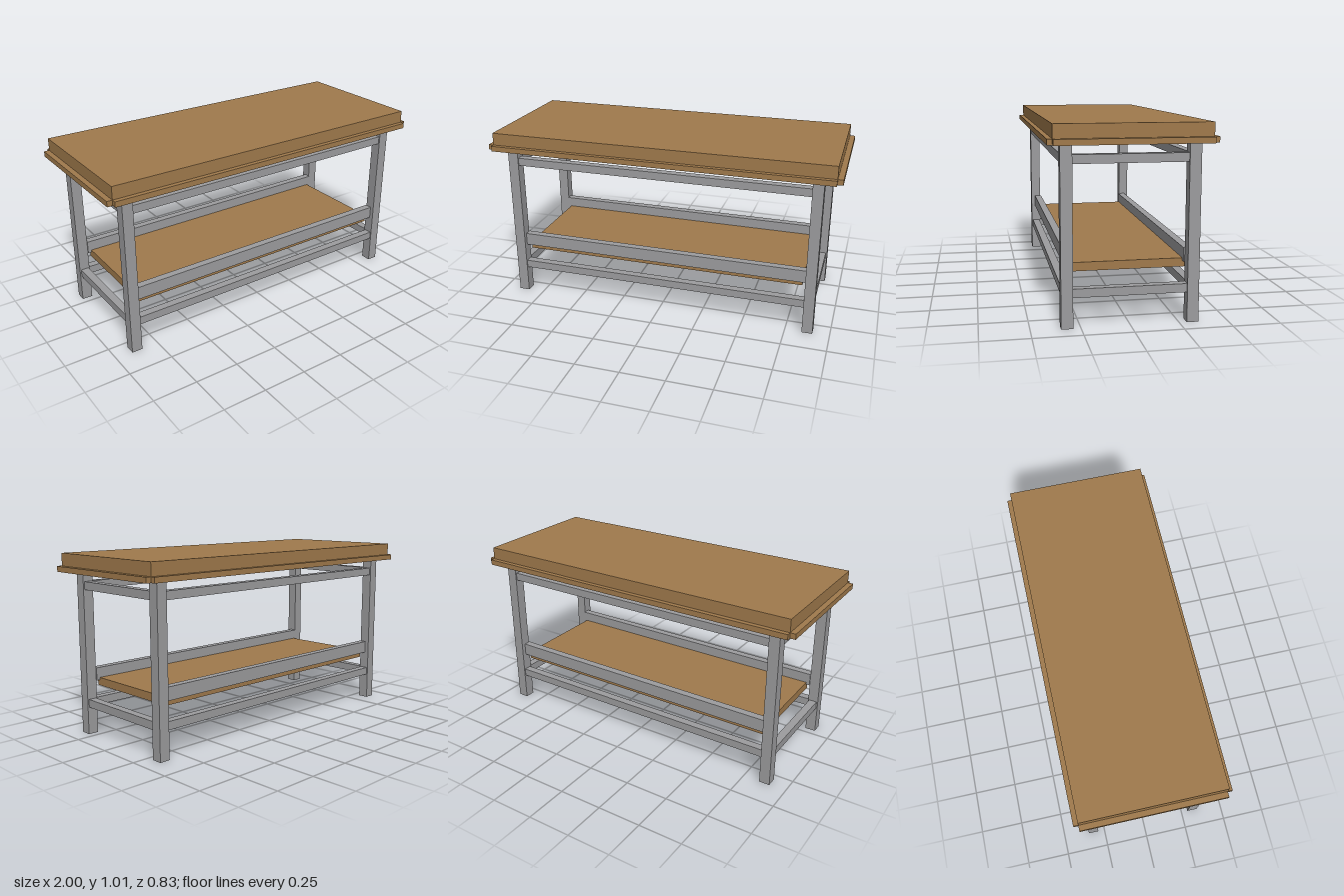
import * as THREE from 'three';

export function createModel() {
  const group = new THREE.Group();
  const wood = new THREE.MeshStandardMaterial({ color: 0xa07a4c });
  wood.name = 'wood';
  const steel = new THREE.MeshStandardMaterial({ color: 0x9c9c9e });
  steel.name = 'grey steel';

  // Box given by its lower and upper limits on each axis
  function addBox(name, material, [x0, x1], [y0, y1], [z0, z1]) {
    const mesh = new THREE.Mesh(new THREE.BoxGeometry(x1 - x0, y1 - y0, z1 - z0), material);
    mesh.position.set((x0 + x1) / 2, (y0 + y1) / 2, (z0 + z1) / 2);
    mesh.name = name;
    group.add(mesh);
  }
  // Range from a to b, mirrored to the negative side when s is -1
  const side = (s, a, b) => (s > 0 ? [a, b] : [-b, -a]);

  // Worktop and lower shelf
  addBox('worktop', wood, [-0.97, 0.97], [0.913, 1.013], [-0.39, 0.39]);
  addBox('shelf', wood, [-0.825, 0.825], [0.27, 0.315], [-0.3, 0.3]);

  for (const s of [1, -1]) {
    const end = s > 0 ? 'left' : 'right';
    const face = s > 0 ? 'front' : 'back';

    // Edge trim around the worktop, open at the corners
    addBox(`${face}Trim`, wood, [-0.97, 0.97], [0.913, 0.943], side(s, 0.39, 0.416));
    addBox(`${end}Trim`, wood, side(s, 0.97, 1), [0.913, 0.943], [-0.39, 0.39]);

    // Legs
    for (const t of [1, -1]) {
      addBox(`${t > 0 ? 'front' : 'back'}${s > 0 ? 'Left' : 'Right'}Leg`, steel,
        side(s, 0.845, 0.905), [0, 0.913], side(t, 0.289, 0.349));
    }

    // Upper and lower rails between the legs
    for (const [level, y] of [['Upper', [0.815, 0.86]], ['Lower', [0.155, 0.2]]]) {
      addBox(`${face}${level}Rail`, steel, [-0.845, 0.845], y, side(s, 0.297, 0.342));
      addBox(`${end}${level}Rail`, steel, side(s, 0.852, 0.897), y, [-0.289, 0.289]);
    }

    // Raised rail along the shelf edge
    addBox(`${face}ShelfRail`, steel, [-0.845, 0.845], [0.301, 0.373], side(s, 0.282, 0.325));
  }
  return group;
}
